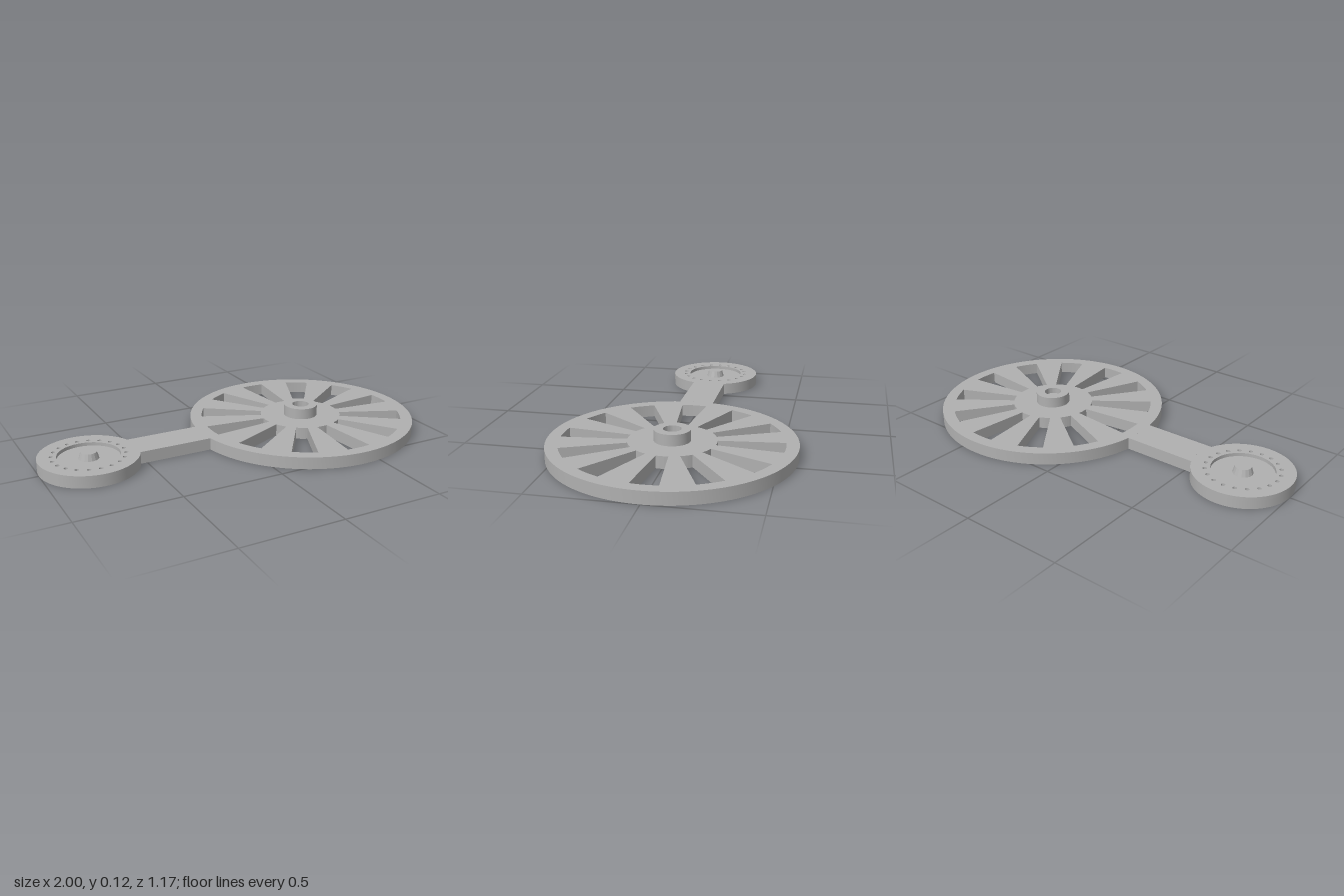
import * as THREE from 'three';
import { toCreasedNormals } from 'three/addons/utils/BufferGeometryUtils.js';

const THICK = 0.06;
const WHEEL = { x: 0.415, r: 0.585 };
const DIAL = { x: -0.758, r: 0.242, floor: 0.043 };

// Flat plate lying on the ground plane, from y0 up to y1
function plate(shape, y0, y1, segments = 48) {
  const geo = new THREE.ExtrudeGeometry(shape, { depth: y1 - y0, bevelEnabled: false, curveSegments: segments });
  geo.rotateX(-Math.PI / 2);
  geo.translate(0, y0, 0);
  return toCreasedNormals(geo, 0.5);
}

function circle(r, x = 0, y = 0, Type = THREE.Shape) {
  return new Type().absarc(x, y, r, 0, Math.PI * 2, false);
}

export function createModel() {
  const model = new THREE.Group();
  const grey = new THREE.MeshStandardMaterial({ color: 0xb0b0b0 });
  grey.name = 'grey';

  const add = (name, geo, x = 0, y = 0) => {
    const mesh = new THREE.Mesh(geo, grey);
    mesh.name = name;
    mesh.position.set(x, y, 0);
    model.add(mesh);
  };

  // Large wheel with twelve tapered windows
  const wheel = circle(WHEEL.r);
  const inner = 0.21, outer = 0.525;
  const innerHalf = Math.asin(0.029 / inner), outerHalf = Math.asin(0.063 / outer);
  for (let i = 0; i < 12; i++) {
    const a = (i * Math.PI) / 6;
    const slot = new THREE.Path();
    slot.absarc(0, 0, outer, a - outerHalf, a + outerHalf, false);
    slot.absarc(0, 0, inner, a + innerHalf, a - innerHalf, true);
    slot.closePath();
    wheel.holes.push(slot);
  }
  add('wheel', plate(wheel, 0, THICK, 64), WHEEL.x);

  // Hub with a blind bore
  const hub = [[0.087, 0], [0.087, 0.055], [0.043, 0.055], [0.043, 0.025], [0, 0.025]]
    .map(([r, y]) => new THREE.Vector2(r, y));
  add('hub', toCreasedNormals(new THREE.LatheGeometry(hub, 48), 0.5), WHEEL.x, THICK);

  // Arm, its ends following the two discs
  const half = 0.088;
  const a = Math.asin(half / DIAL.r), b = Math.asin(half / WHEEL.r);
  const arm = new THREE.Shape();
  arm.absarc(DIAL.x, 0, DIAL.r, -a, a, false);
  arm.absarc(WHEEL.x, 0, WHEEL.r, Math.PI - b, Math.PI + b, false);
  arm.closePath();
  add('arm', plate(arm, 0, THICK, 16));

  // Small disc: solid base, then a rim with a ring of pin holes
  add('dialBase', plate(circle(DIAL.r), 0, DIAL.floor, 64), DIAL.x);
  const rim = circle(DIAL.r);
  rim.holes.push(circle(0.15, 0, 0, THREE.Path));
  for (let i = 0; i < 20; i++) {
    const t = (i * Math.PI) / 10;
    rim.holes.push(circle(0.01, 0.175 * Math.cos(t), 0.175 * Math.sin(t), THREE.Path));
  }
  add('dialRim', plate(rim, DIAL.floor, THICK, 64), DIAL.x);

  // Tapered, faceted knob in the recess
  const knobHeight = 0.076 - DIAL.floor;
  const knob = toCreasedNormals(new THREE.CylinderGeometry(0.039, 0.049, knobHeight, 16), 0.1);
  add('knob', knob, DIAL.x, DIAL.floor + knobHeight / 2);

  return model;
}
